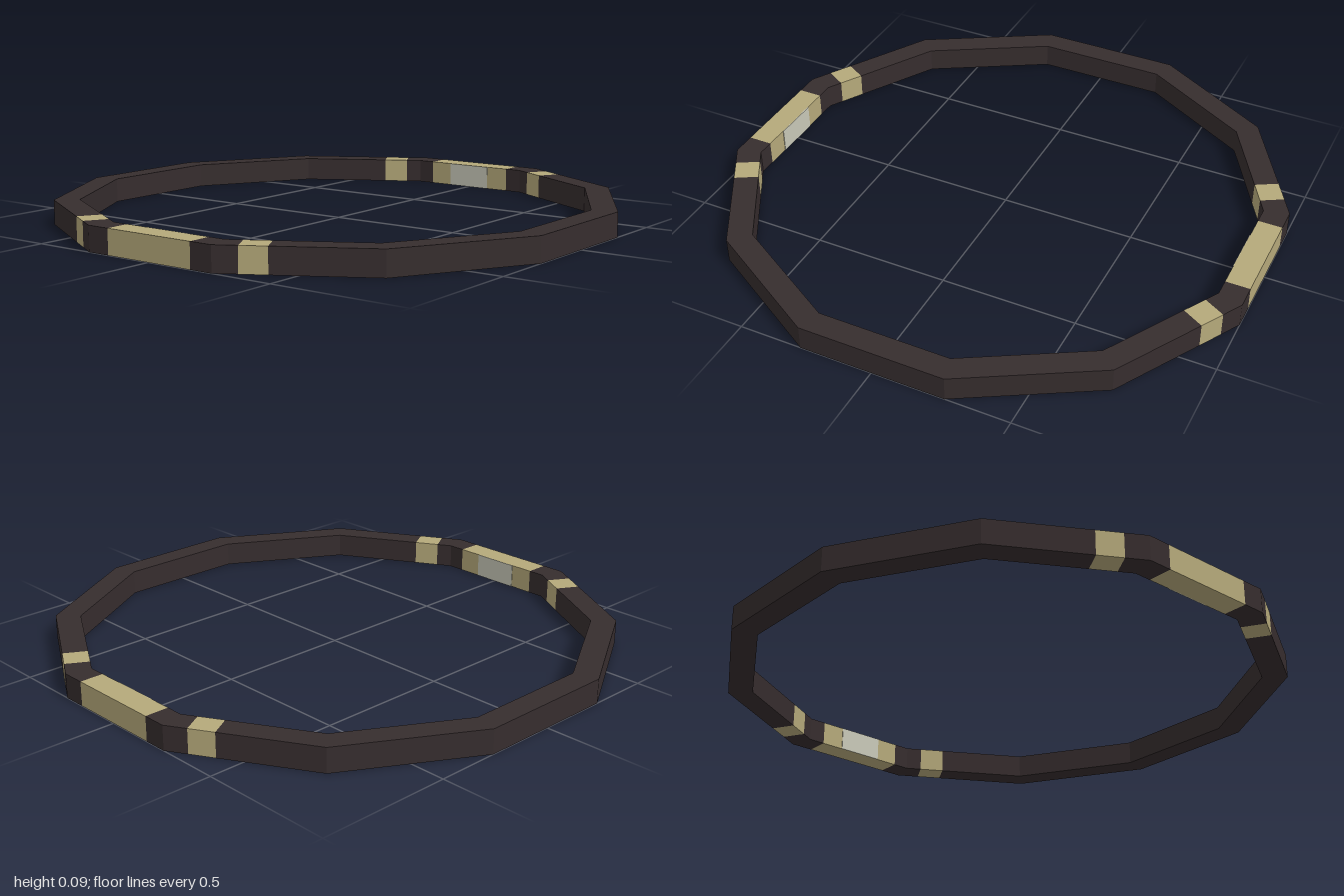
import * as THREE from 'three';

const SIDES = 12;
const OUTER = 1;      // distance from centre to outer face
const INNER = 0.91;   // distance from centre to inner face
const HEIGHT = 0.09;
const SLOPE = Math.tan(Math.PI / SIDES);
const END = OUTER * SLOPE; // half length of an outer side

export function createModel() {
  const group = new THREE.Group();
  group.name = 'ring';

  const material = (name, color) => {
    const m = new THREE.MeshStandardMaterial({ color });
    m.name = name;
    return m;
  };
  const dark = material('darkBrown', 0x362d2e);
  const gold = material('paleGold', 0xb5a97a);
  const grey = material('paleGrey', 0xc8c8b8);

  const add = (geometry, mat, name, side) => {
    const mesh = new THREE.Mesh(geometry, mat);
    mesh.name = name;
    mesh.rotation.y = (side * 2 * Math.PI) / SIDES;
    group.add(mesh);
  };

  // Block along one side from a to b; ends at the corners are mitred
  const block = (side, a, b, mat, name) => {
    const innerX = (s) => (Math.abs(s) === END ? s * INNER / OUTER : s);
    const shape = new THREE.Shape([
      new THREE.Vector2(innerX(a), INNER),
      new THREE.Vector2(innerX(b), INNER),
      new THREE.Vector2(b, OUTER),
      new THREE.Vector2(a, OUTER),
    ]);
    const geometry = new THREE.ExtrudeGeometry(shape, { depth: HEIGHT, bevelEnabled: false });
    geometry.rotateX(Math.PI / 2).translate(0, HEIGHT, 0);
    add(geometry, mat, name, side);
  };

  for (let side = 0; side < SIDES; side++) {
    // Gold span of this side, if it has one
    let span = null;
    if (side % 6 === 0) span = [-0.18, 0.18];
    if (side % 6 === 1) span = [-0.185, -0.092];
    if (side % 6 === 5) span = [0.092, 0.185];

    if (!span) {
      block(side, -END, END, dark, 'ringSide');
      continue;
    }
    block(side, -END, span[0], dark, 'ringSide');
    block(side, span[0], span[1], gold, side % 6 === 0 ? 'goldBar' : 'goldBand');
    block(side, span[1], END, dark, 'ringSide');

    // Pale panel on the inner face of the front and back bars
    if (side % 6 === 0) {
      const plate = new THREE.BoxGeometry(0.18, HEIGHT, 0.004);
      plate.translate(0, HEIGHT / 2, INNER);
      add(plate, grey, 'innerPanel', side);
    }
  }
  return group;
}
